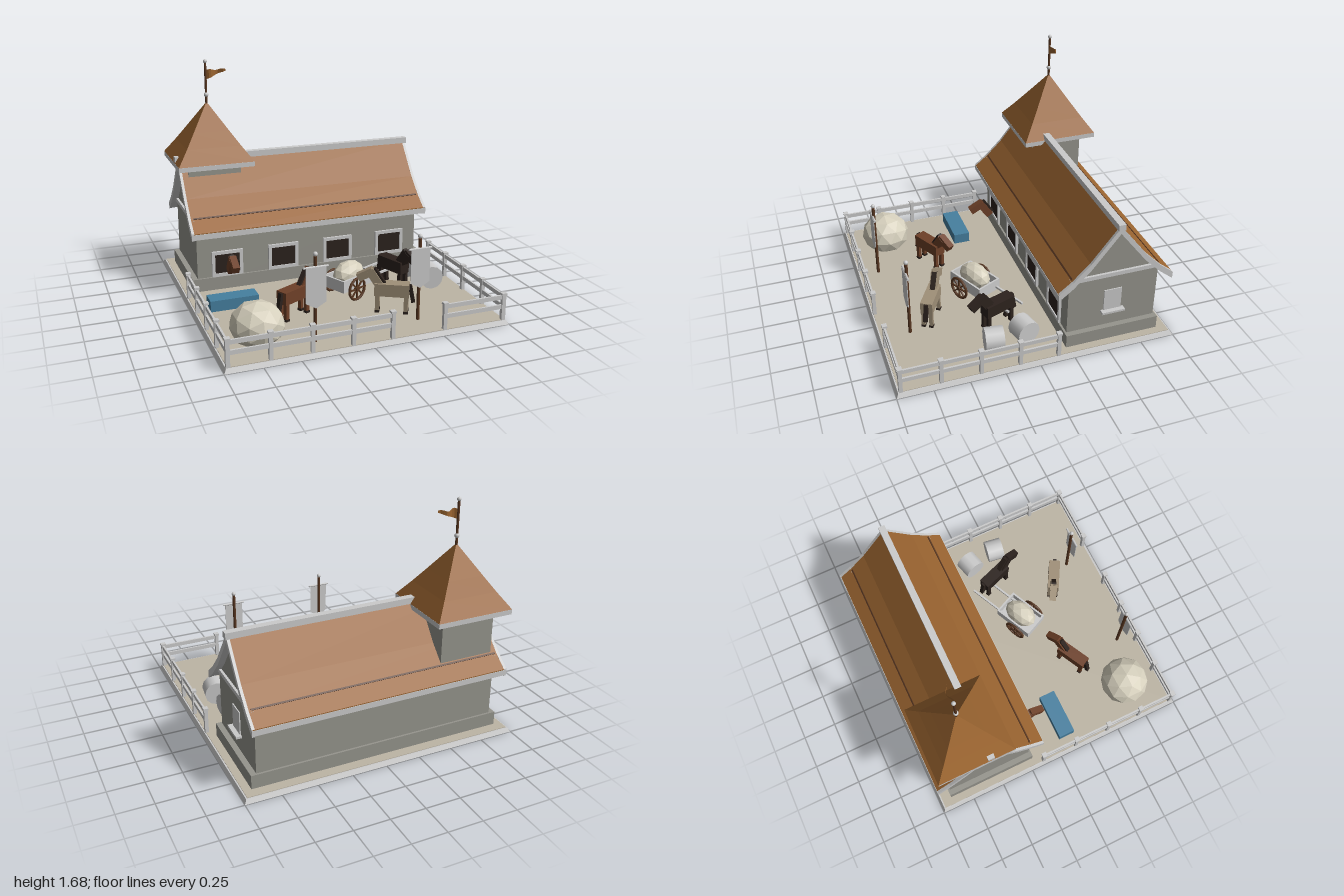
import * as THREE from 'three';

const mats = {};
const mat = (color = 0xcccccc, flat = true, double = false) =>
  (mats[[color, flat, double]] ??= new THREE.MeshStandardMaterial({
    color, flatShading: flat, side: double ? THREE.DoubleSide : THREE.FrontSide }));

const GREY = 0xcccccc, WALL = 0x96958d, THATCH = 0x9a6430, WOOD = 0x5a3822, DARK = 0x2c221d,
  HAY = 0xd6d0bd, WATER = 0x4680a0;

function add(parent, name, geo, material, x = 0, y = 0, z = 0) {
  const m = new THREE.Mesh(geo, material);
  m.name = name;
  m.position.set(x, y, z);
  parent.add(m);
  return m;
}
const box = (p, name, w, h, d, color, x, y, z) =>
  add(p, name, new THREE.BoxGeometry(w, h, d), mat(color), x, y, z);
const ball = (p, name, r, color, x, y, z) =>
  add(p, name, new THREE.SphereGeometry(r, 12, 8), mat(color, false), x, y, z);
const rod = (p, name, r, h, color, x, y, z, n = 8) =>
  add(p, name, new THREE.CylinderGeometry(r, r, h, n), mat(color, false), x, y, z);
function group(parent, name, x = 0, y = 0, z = 0, turn = 0) {
  const g = new THREE.Group();
  g.name = name;
  g.position.set(x, y, z);
  g.rotation.y = turn;
  parent.add(g);
  return g;
}
// square tapered solid from [halfWidth, y] pairs
function squareLathe(points) {
  return new THREE.LatheGeometry(points.map(([r, y]) => new THREE.Vector2(r * Math.SQRT2, y)), 4, Math.PI / 4);
}
// symmetric z-y outline extruded along x, centred
function extrudeX(points, length) {
  const geo = new THREE.ExtrudeGeometry(new THREE.Shape(points.map(([a, b]) => new THREE.Vector2(a, b))),
    { depth: length, bevelEnabled: false });
  return geo.translate(0, 0, -length / 2).rotateY(Math.PI / 2);
}

// roof slope: distance from ridge, height
const SLOPE = [[0.418, 0.497], [0.32, 0.575], [0.2, 0.695], [0, 0.95]];
function roofLayer(top, bottom, length) {
  const half = SLOPE.slice(0, 3);
  const line = (o) => [...half.map(([d, y]) => [-d, y + o]), [0, 0.95 + o],
    ...half.slice().reverse().map(([d, y]) => [d, y + o])];
  return extrudeX([...line(top), ...line(bottom).reverse()], length);
}

function frame(p, name, w, h, t, depth) {
  for (const s of [-1, 1]) {
    box(p, name, t, h, depth, GREY, s * (w - t) / 2, 0, 0);
    box(p, name, w, t, depth, GREY, 0, s * (h - t) / 2, 0);
  }
}

function buildStable(root) {
  const g = group(root, 'stable', 0, 0, -0.56);
  add(g, 'plinth', new THREE.BoxGeometry(1.84, 0.1, 0.69), mat(WALL), 0, 0.08, 0);
  add(g, 'walls', extrudeX([[-0.33, 0.03], [0.33, 0.03], [0.33, 0.54], [0.2, 0.67], [0, 0.92], [-0.2, 0.67],
    [-0.33, 0.54]], 1.76), mat(WALL));
  add(g, 'roofThatch', roofLayer(0.012, -0.012, 1.85), mat(THATCH));
  add(g, 'roofBoards', roofLayer(-0.012, -0.036, 1.85), mat(GREY));
  for (const s of [-1, 1]) {
    add(g, 'bargeboard', roofLayer(0.013, -0.04, 0.02), mat(GREY), s * 0.92);
    box(g, 'gableBeam', 0.025, 0.03, 0.66, GREY, s * 0.885, 0.565, 0);
    box(g, 'eaveBoard', 1.86, 0.03, 0.014, GREY, 0, 0.488, s * 0.414);
    const batten = box(g, 'roofBatten', 1.79, 0.008, 0.012, WOOD, 0, 0.59, s * 0.318);
    batten.rotation.x = s * 0.75;
  }
  box(g, 'ridgeBeam', 1.89, 0.045, 0.05, GREY, -0.005, 0.962, 0);

  // stall openings
  for (const x of [-0.655, -0.22, 0.22, 0.655]) {
    const w = group(g, 'stallWindow', x, 0.23, 0.333);
    box(w, 'opening', 0.2, 0.16, 0.012, DARK, 0, 0, 0);
    frame(w, 'windowFrame', 0.235, 0.195, 0.024, 0.03);
  }
  // gable window
  box(g, 'gablePane', 0.015, 0.17, 0.13, GREY, 0.88, 0.345, 0);
  box(g, 'gableSill', 0.05, 0.016, 0.17, GREY, 0.895, 0.256, 0);
}

function buildTower(root) {
  const g = group(root, 'tower', -0.667, 0, -0.667);
  box(g, 'towerWalls', 0.4, 0.42, 0.4, WALL, 0, 0.71, 0);
  box(g, 'towerEave', 0.57, 0.035, 0.57, GREY, 0, 0.922, 0);
  add(g, 'towerRoof', squareLathe([[0.285, 0.94], [0.205, 1.052], [0.136, 1.155], [0.001, 1.36]]), mat(THATCH));
  rod(g, 'flagPole', 0.009, 0.33, WOOD, 0, 1.49, 0);
  ball(g, 'poleCollar', 0.018, GREY, 0, 1.415, 0);
  ball(g, 'poleTip', 0.015, GREY, 0, 1.665, 0);
  // rippling pennant that narrows to its tip
  const geo = new THREE.PlaneGeometry(1, 1, 8, 1);
  const p = geo.attributes.position;
  for (let i = 0; i < p.count; i++) {
    const u = p.getX(i) + 0.5;
    const y = p.getY(i) > 0 ? 1.6 + 0.006 * Math.sin(u * 9) : 1.53 + 0.058 * u;
    p.setXYZ(i, 0.005 + u * 0.145, y, 0.014 * Math.sin(u * 8));
  }
  geo.computeVertexNormals();
  add(g, 'pennant', geo, mat(THATCH, true, true));
}

// fence run along +x of the group
function fenceRun(root, x, z, length, bays, turn) {
  const g = group(root, 'fence', x, 0, z, turn);
  for (let i = 0; i <= bays; i++) {
    const px = length * i / bays;
    box(g, 'fencePost', 0.026, 0.185, 0.026, GREY, px, 0.12, 0);
    box(g, 'postCap', 0.036, 0.014, 0.036, GREY, px, 0.218, 0);
  }
  for (const y of [0.125, 0.195]) box(g, 'fenceRail', length, 0.03, 0.014, GREY, length / 2, y, 0);
}

function headAndNeck(g, color, x, y) {
  const neck = box(g, 'neck', 0.06, 0.14, 0.055, color, x, y, 0);
  neck.rotation.z = -0.6;
  const mane = box(g, 'mane', 0.018, 0.13, 0.035, DARK, x - 0.028, y + 0.022, 0);
  mane.rotation.z = -0.6;
  const head = box(g, 'head', 0.12, 0.055, 0.05, color, x + 0.07, y + 0.03, 0);
  head.rotation.z = -0.5;
  for (const s of [-1, 1]) box(g, 'ear', 0.015, 0.025, 0.012, color, x + 0.03, y + 0.065, s * 0.018);
}

// horse facing local +x
function horse(root, color, x, z, dx, dz) {
  const g = group(root, 'horse', x, 0, z, Math.atan2(-dz, dx));
  box(g, 'body', 0.24, 0.09, 0.088, color, 0, 0.2, 0);
  for (const lx of [-0.1, 0.1]) for (const lz of [-0.028, 0.028]) {
    box(g, 'leg', 0.028, 0.13, 0.026, color, lx, 0.105, lz);
    box(g, 'hoof', 0.032, 0.018, 0.03, DARK, lx, 0.04, lz);
  }
  const tail = box(g, 'tail', 0.025, 0.13, 0.03, DARK, -0.136, 0.175, 0);
  tail.rotation.z = -0.2;
  headAndNeck(g, color, 0.115, 0.27);
}

function hayMound(parent, name, rx, ry, rz, x, y, z) {
  const geo = new THREE.IcosahedronGeometry(1, 1);
  const p = geo.attributes.position;
  for (let i = 0; i < p.count; i++) p.setXYZ(i, p.getX(i) * rx, Math.max(p.getY(i), -0.75) * ry, p.getZ(i) * rz);
  geo.computeVertexNormals();
  return add(parent, name, geo, mat(HAY), x, y, z);
}

function buildCart(root) {
  const g = group(root, 'cart', 0.14, 0, 0.2, 0.44);
  box(g, 'cartFloor', 0.31, 0.02, 0.2, GREY, 0, 0.12, 0);
  for (const s of [-1, 1]) {
    box(g, 'cartSide', 0.317, 0.08, 0.014, GREY, 0, 0.16, s * 0.094);
    box(g, 'cartEnd', 0.014, 0.08, 0.19, GREY, s * 0.152, 0.16, 0);
    box(g, 'cartShaft', 0.3, 0.015, 0.015, GREY, 0.28, 0.14, s * 0.07);
    const wheel = group(g, 'wheel', -0.04, 0.12, s * 0.122);
    add(wheel, 'rim', new THREE.TorusGeometry(0.08, 0.01, 6, 16), mat(WOOD, false));
    for (let i = 0; i < 4; i++) box(wheel, 'spoke', 0.155, 0.01, 0.01, WOOD, 0, 0, 0).rotation.z = i * Math.PI / 4;
    rod(wheel, 'hub', 0.018, 0.024, WOOD, 0, 0, 0).rotation.x = Math.PI / 2;
  }
  rod(g, 'axle', 0.009, 0.25, WOOD, -0.04, 0.12, 0).rotation.x = Math.PI / 2;
  hayMound(g, 'cartHay', 0.135, 0.095, 0.09, 0, 0.195, 0);
}

function banner(root, x, z) {
  const g = group(root, 'banner', x, 0, z);
  rod(g, 'bannerPole', 0.012, 0.6, WOOD, 0, 0.32, 0);
  ball(g, 'bannerTip', 0.016, GREY, 0, 0.635, 0);
  rod(g, 'crossbar', 0.008, 0.17, GREY, 0, 0.55, 0.008).rotation.z = Math.PI / 2;
  const cloth = new THREE.Shape([[-0.07, 0.55], [-0.07, 0.31], [0, 0.27], [0.07, 0.31], [0.07, 0.55]]
    .map(([a, b]) => new THREE.Vector2(a, b)));
  add(g, 'bannerCloth', new THREE.ExtrudeGeometry(cloth, { depth: 0.005, bevelEnabled: false }), mat(), 0, 0, 0.012);
}

export function createModel() {
  const root = new THREE.Group();
  root.name = 'stableYard';
  // yard slab
  add(root, 'base', squareLathe([[0, 0], [1, 0], [0.985, 0.028], [0, 0.028]]), mat());
  box(root, 'yardGround', 1.95, 0.02, 1.95, 0xbdb5a5, 0, 0.022, 0);
  buildStable(root);
  buildTower(root);

  // fences with a gateway at the front
  fenceRun(root, -0.97, 0.965, 1.11, 4, 0);
  fenceRun(root, 0.52, 0.965, 0.445, 1, 0);
  for (const s of [-1, 1]) fenceRun(root, s * 0.968, 0.965, 1.105, 4, Math.PI / 2);

  // animals
  horse(root, 0x6e4028, -0.355, 0.415, 0.89, -0.46);
  horse(root, DARK, 0.522, 0.15, 0.34, 0.94);
  horse(root, 0xa09078, 0.31, 0.583, -0.868, -0.497);
  headAndNeck(group(root, 'stalledHorse', -0.645, 0, -0.23, -Math.PI / 2), 0x6e4028, 0.1, 0.245);

  // yard furniture
  buildCart(root);
  box(root, 'waterTrough', 0.35, 0.085, 0.125, WATER, -0.705, 0.07, 0.103);
  hayMound(root, 'hayPile', 0.185, 0.16, 0.185, -0.7, 0.148, 0.695);
  banner(root, -0.35, 0.835);
  banner(root, 0.42, 0.768);
  for (const [x, z, turn] of [[0.73, 0.027, 0.26], [0.767, 0.26, Math.PI / 2 - 0.14]]) {
    const roll = new THREE.CylinderGeometry(0.087, 0.087, 0.132, 12).rotateZ(Math.PI / 2);
    add(root, 'barrel', roll, mat(GREY, false), x, 0.117, z).rotation.y = turn;
  }
  return root;
}
